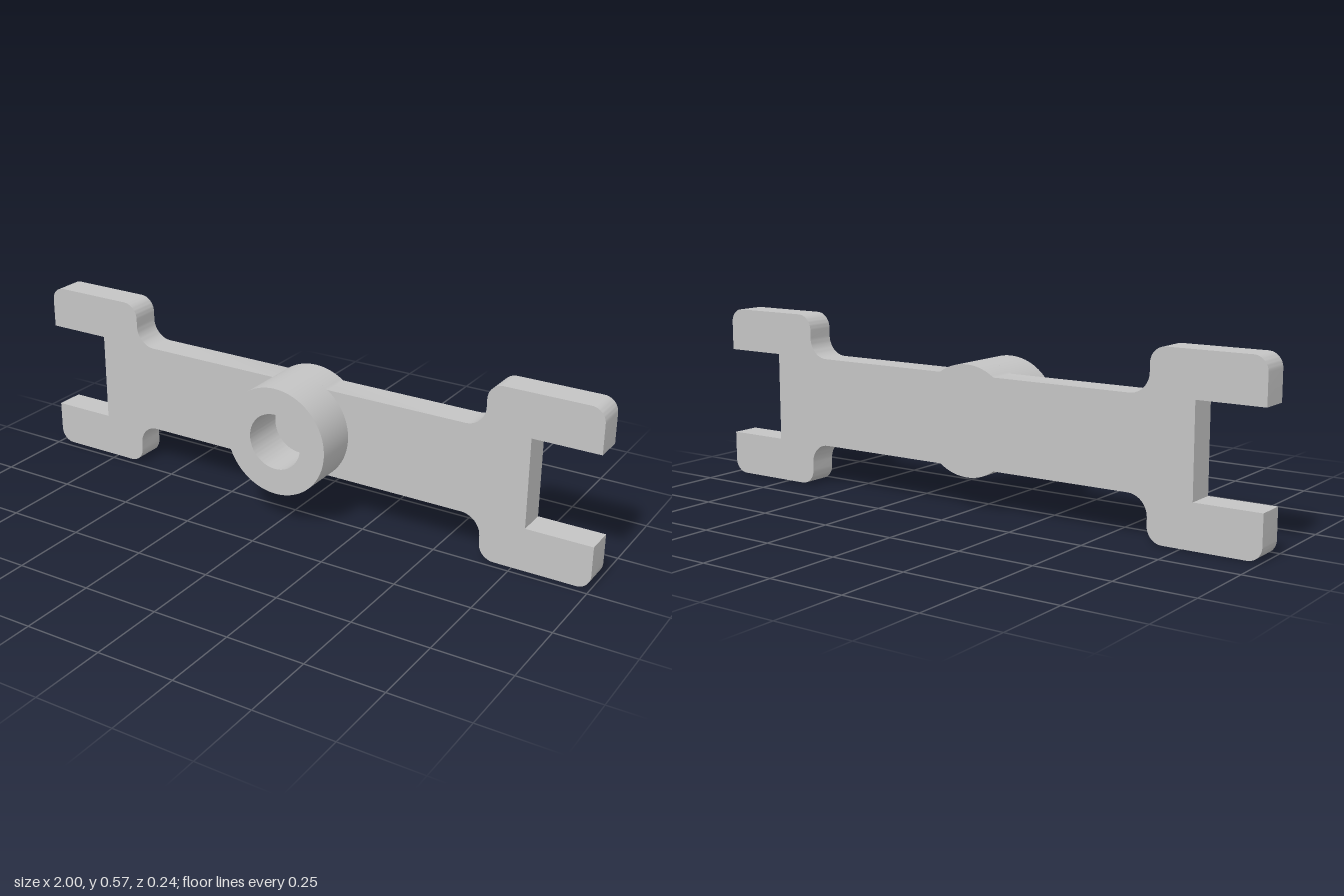
import * as THREE from 'three';
import { toCreasedNormals } from 'three/addons/utils/BufferGeometryUtils.js';

const CENTER_Y = 0.287;
const BACK = -0.12, PLATE_FRONT = -0.025, HUB_FRONT = 0.12;
const HUB_R = 0.178, BORE_R = 0.092, ARM = 0.146;

// Adds a right-angled corner, rounded by radius r when r > 0
function corner(shape, prev, [x, y, r], next) {
  if (!r) return shape.lineTo(x, y);
  const p = new THREE.Vector2(x, y);
  const u = new THREE.Vector2(...prev).sub(p).normalize();
  const v = new THREE.Vector2(...next).sub(p).normalize();
  const at = (d, k) => p.clone().addScaledVector(d, r * k);
  const a = at(u, 1), c1 = at(u, 0.448), c2 = at(v, 0.448), b = at(v, 1);
  shape.lineTo(a.x, a.y);
  shape.bezierCurveTo(c1.x, c1.y, c2.x, c2.y, b.x, b.y);
}

// Double-forked bar with the round hub bulging above and below the arm
function plateShape() {
  const hx = Math.sqrt(HUB_R ** 2 - ARM ** 2);
  const angle = Math.atan2(ARM, hx);
  const upper = [
    [hx, ARM, 0], [0.64, ARM, 0.065], [0.64, 0.287, 0.05],
    [1, 0.287, 0.045], [1, ARM, 0], [0.785, ARM, 0],
  ];
  const lower = upper.map(([x, y, r]) => [x, -y, r]).reverse();
  const half = [...upper, ...lower];
  const shape = new THREE.Shape();
  shape.moveTo(hx, ARM);
  for (const s of [1, -1]) {
    const pts = half.map(([x, y, r]) => [s * x, s * y, r]);
    for (let i = 1; i < pts.length; i++) {
      const next = pts[Math.min(i + 1, pts.length - 1)];
      corner(shape, pts[i - 1].slice(0, 2), pts[i], next.slice(0, 2));
    }
    const turn = s === 1 ? 0 : Math.PI;
    shape.absarc(0, 0, HUB_R, turn - angle, turn - Math.PI + angle, true);
  }
  return shape;
}

function extrude(shape, from, to, segments) {
  const geo = new THREE.ExtrudeGeometry(shape, {
    depth: to - from, bevelEnabled: false, curveSegments: segments,
  });
  geo.translate(0, CENTER_Y, from);
  return toCreasedNormals(geo, 0.6);
}

export function createModel() {
  const group = new THREE.Group();
  group.name = 'forkedLever';
  const metal = new THREE.MeshStandardMaterial({ color: 0xc4c4c4 });
  metal.name = 'light grey';

  const plate = new THREE.Mesh(extrude(plateShape(), BACK, PLATE_FRONT, 12), metal);
  plate.name = 'forkedPlate';

  // Hub collar around a blind bore that ends at the plate
  const ring = new THREE.Shape().absarc(0, 0, HUB_R, 0, Math.PI * 2, false);
  ring.holes.push(new THREE.Path().absarc(0, 0, BORE_R, 0, Math.PI * 2, true));
  const hub = new THREE.Mesh(extrude(ring, PLATE_FRONT, HUB_FRONT, 48), metal);
  hub.name = 'hubCollar';

  group.add(plate, hub);
  return group;
}
